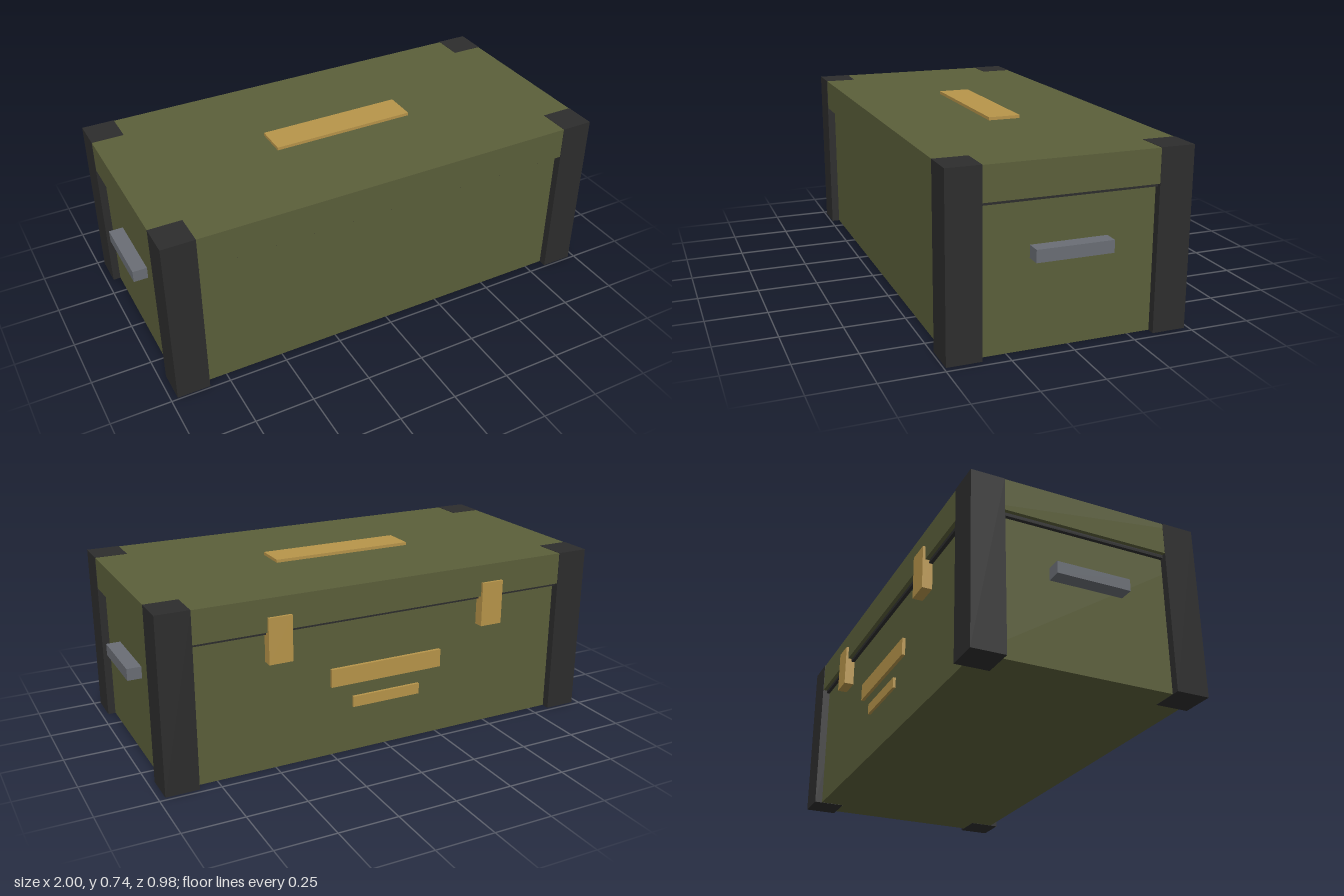
import * as THREE from 'three';

const paint = (name, color) => {
  const m = new THREE.MeshStandardMaterial({ color });
  m.name = name;
  return m;
};

export function createModel() {
  const olive = paint('olive', 0x5b5f3a);
  const black = paint('black', 0x2d2d2d);
  const brass = paint('brass', 0xb8954a);
  const steel = paint('steel', 0x6a6e75);

  const chest = new THREE.Group();
  chest.name = 'chest';

  // Box given by its lower and upper limits on each axis
  const box = (name, material, [x0, x1], [y0, y1], [z0, z1]) => {
    const mesh = new THREE.Mesh(new THREE.BoxGeometry(x1 - x0, y1 - y0, z1 - z0), material);
    mesh.position.set((x0 + x1) / 2, (y0 + y1) / 2, (z0 + z1) / 2);
    mesh.name = name;
    chest.add(mesh);
  };
  const span = (centre, size) => [centre - size / 2, centre + size / 2];
  const zc = 0.005; // the latches stick out at the back, so the case sits slightly forward

  // Case, seam and overhanging lid
  box('body', olive, span(0, 1.88), [0.001, 0.58], span(zc, 0.906));
  box('seam', black, span(0, 1.91), [0.58, 0.594], span(zc, 0.936));
  box('lid', olive, span(0, 1.942), [0.594, 0.73], span(zc, 0.97));

  // Corner posts, a hair proud of the lid
  for (const sx of [-1, 1]) {
    for (const sz of [-1, 1]) {
      box('cornerPost', black, span(sx * 0.903, 0.138), [0, 0.7315], span(zc + sz * 0.418, 0.138));
    }
  }

  // Plate on the lid
  box('lidPlate', brass, span(0, 0.625), [0.73, 0.743], span(zc, 0.136));

  // End handles and back latches
  for (const sx of [-1, 1]) {
    box('endHandle', steel, span(sx * 0.968, 0.064), [0.36, 0.41], span(zc, 0.31));
    box('latch', brass, span(sx * 0.485, 0.1), [0.464, 0.654], [-0.491, -0.44]);
  }

  // Name plates on the back
  box('backPlate', brass, span(0, 0.51), span(0.343, 0.077), [-0.462, -0.44]);
  box('smallBackPlate', brass, span(0, 0.31), span(0.222, 0.046), [-0.46, -0.44]);

  return chest;
}
